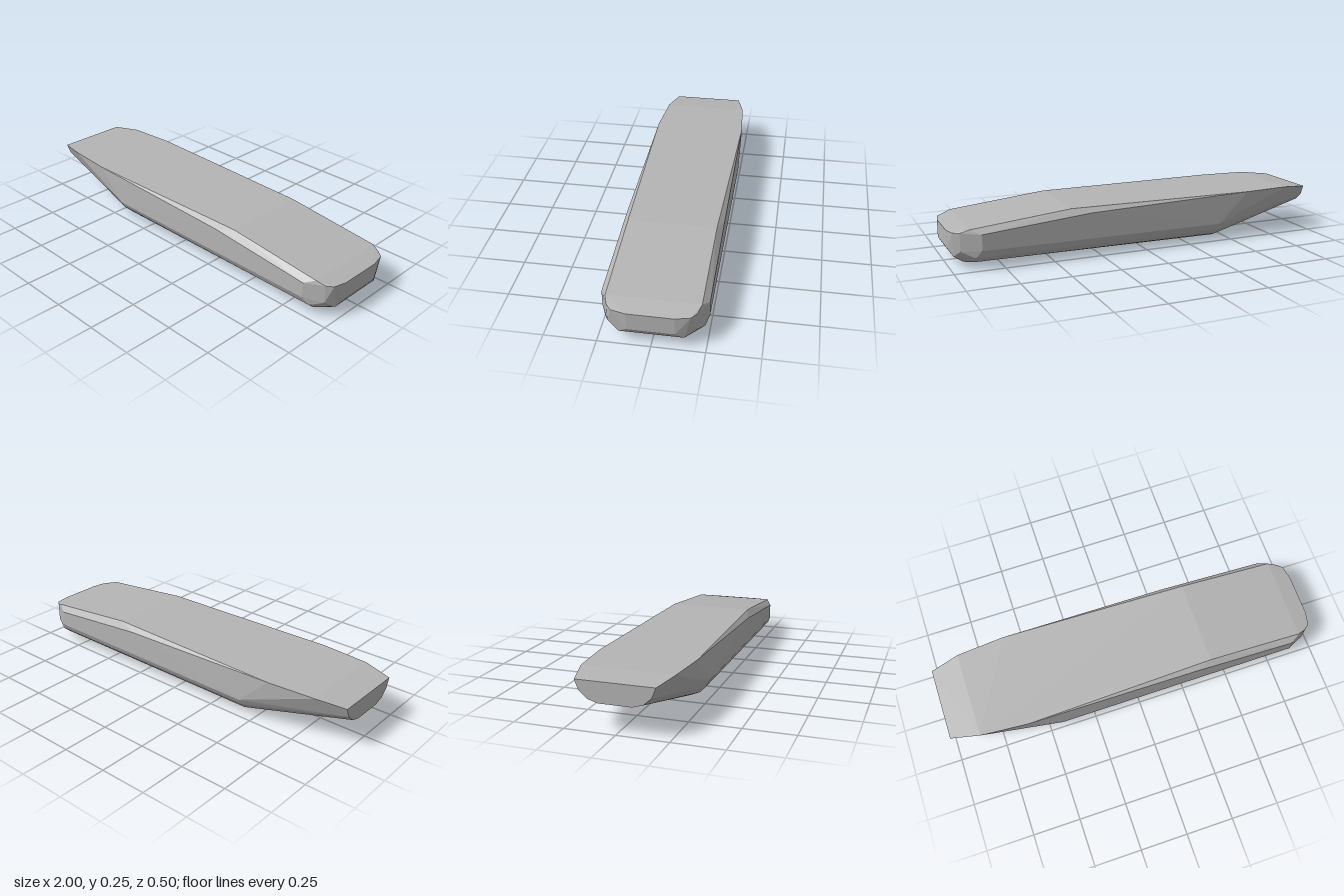
import * as THREE from 'three';
import { ConvexGeometry } from 'three/addons/geometries/ConvexGeometry.js';

export function createModel() {
  const model = new THREE.Group();
  model.name = 'hullModel';
  const grey = new THREE.MeshStandardMaterial({ color: 0xb4b4b4 });
  grey.name = 'plainGrey';

  // Stations along x: pairs of [half width, height], mirrored across z
  const stations = [
    // pointed, raised end
    [-1.0, [[0.19, 0.24], [0.17, 0.19], [0.13, 0.155], [0.08, 0.14]]],
    [-0.85, [[0.228, 0.255]]],
    [-0.6, [[0.248, 0.255]]],
    // keel start
    [-0.43, [[0.08, 0.002], [0.15, 0.01], [0.2, 0.03], [0.23, 0.06], [0.25, 0.095]]],
    // deck break with bevelled rim
    [0.3, [[0.25, 0.23]]],
    [0.4, [[0.222, 0.255]]],
    // blunt end, rounded in facets
    [0.86, [[0.25, 0.18], [0.25, 0.1]]],
    [0.89, [[0.232, 0.063], [0.2, 0.035]]],
    [0.91, [[0.22, 0.203]]],
    [0.93, [[0.14, 0.025], [0.08, 0.025]]],
    [0.955, [[0.205, 0.187], [0.205, 0.095]]],
    [0.98, [[0.15, 0.06]]],
    [0.985, [[0.18, 0.185]]],
    [1.0, [[0.11, 0.183], [0.11, 0.093]]],
  ];
  const points = [];
  for (const [x, ring] of stations) {
    for (const [z, y] of ring) {
      for (const side of [-1, 1]) points.push(new THREE.Vector3(x, y - 0.002, z * side));
    }
  }

  const hull = new THREE.Mesh(new ConvexGeometry(points), grey);
  hull.name = 'hull';
  model.add(hull);
  return model;
}
